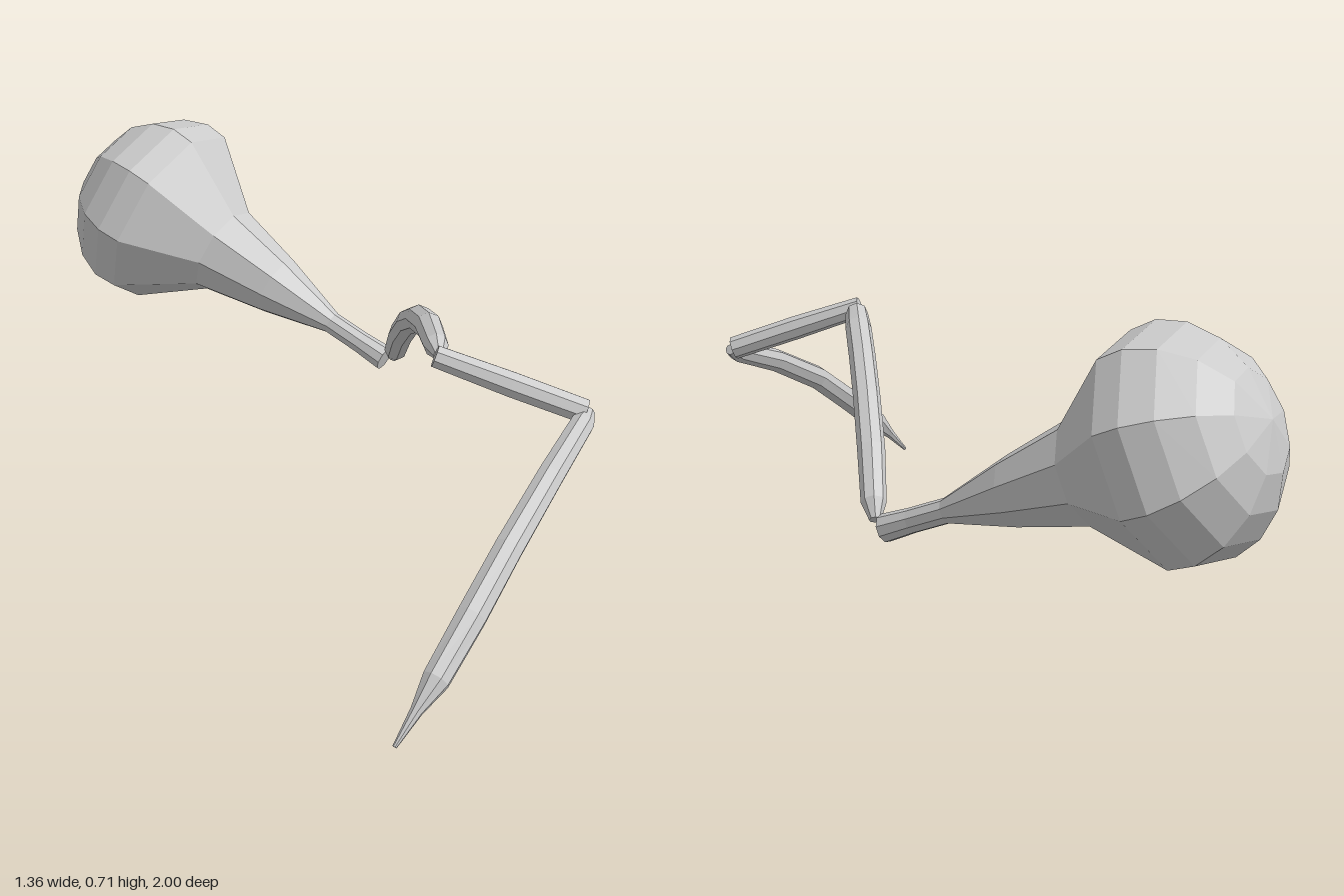
import * as THREE from 'three';

const material = new THREE.MeshStandardMaterial({ color: 0xcccccc, flatShading: true });

// Faceted closed tube through stations [x, y, z, radius]
function loft(name, stations, sides, phase = 0) {
  const pts = stations.map(s => new THREE.Vector3(s[0], s[1], s[2]));
  const last = pts.length - 1;
  const up = new THREE.Vector3(0, 1, 0);
  const pos = [], index = [];
  pts.forEach((p, i) => {
    const dir = pts[Math.min(i + 1, last)].clone().sub(pts[Math.max(i - 1, 0)]).normalize();
    const u = up.clone().addScaledVector(dir, -up.dot(dir)).normalize();
    const v = dir.clone().cross(u);
    for (let k = 0; k < sides; k++) {
      const a = phase + (k / sides) * Math.PI * 2;
      const q = p.clone()
        .addScaledVector(u, Math.cos(a) * stations[i][3])
        .addScaledVector(v, Math.sin(a) * stations[i][3]);
      pos.push(q.x, q.y, q.z);
    }
  });
  for (let i = 0; i < last; i++) {
    for (let k = 0; k < sides; k++) {
      const n = (k + 1) % sides;
      const a = i * sides + k, b = i * sides + n, c = a + sides, d = b + sides;
      index.push(a, b, d, a, d, c);
    }
  }
  // End caps
  const start = pos.length / 3;
  pos.push(...pts[0].toArray(), ...pts[last].toArray());
  for (let k = 0; k < sides; k++) {
    const n = (k + 1) % sides;
    index.push(start, n, k, start + 1, last * sides + k, last * sides + n);
  }
  const geo = new THREE.BufferGeometry();
  geo.setAttribute('position', new THREE.Float32BufferAttribute(pos, 3));
  geo.setIndex(index);
  geo.computeVertexNormals();
  const mesh = new THREE.Mesh(geo, material);
  mesh.name = name;
  return mesh;
}

export function createModel() {
  const group = new THREE.Group();
  group.name = 'jointedLeg';

  // Bulbous base: [distance along axis, radius]
  const origin = new THREE.Vector3(0.52, 0.18, -0.04);
  const axis = new THREE.Vector3(-0.128, 0.353, -0.927).normalize();
  const profile = [
    [0, 0.034], [0.08, 0.03], [0.18, 0.03], [0.37, 0.083], [0.56, 0.125], [0.745, 0.263],
    [0.81, 0.268], [0.88, 0.243], [0.945, 0.19], [0.99, 0.115], [1.015, 0.002],
  ];
  group.add(loft('bulbSegment', profile.map(([s, r]) =>
    [...origin.clone().addScaledVector(axis, s).toArray(), r]), 9, -8 * Math.PI / 180));

  // Arched upper segment
  group.add(loft('archedSegment', [
    [0.52, 0.195, -0.01, 0.014], [0.5, 0.228, 0.012, 0.03], [0.415, 0.325, 0.095, 0.033],
    [0.315, 0.42, 0.198, 0.033], [0.21, 0.492, 0.307, 0.033], [0.1, 0.538, 0.42, 0.033],
    [-0.005, 0.552, 0.522, 0.029], [-0.045, 0.552, 0.56, 0.012],
  ], 8));

  // Short straight segment
  group.add(loft('middleSegment', [
    [-0.065, 0.558, 0.565, 0.027], [0.03, 0.5, 0.71, 0.031], [0.125, 0.443, 0.848, 0.03],
  ], 8));

  // Curved end segment with pointed claw
  group.add(loft('clawSegment', [
    [0.135, 0.44, 0.852, 0.014], [0.095, 0.428, 0.862, 0.028], [-0.08, 0.375, 0.9, 0.031],
    [-0.28, 0.292, 0.937, 0.033], [-0.43, 0.202, 0.957, 0.034], [-0.56, 0.113, 0.967, 0.031],
    [-0.62, 0.065, 0.965, 0.014], [-0.683, 0.007, 0.96, 0.005],
  ], 8));

  return group;
}
